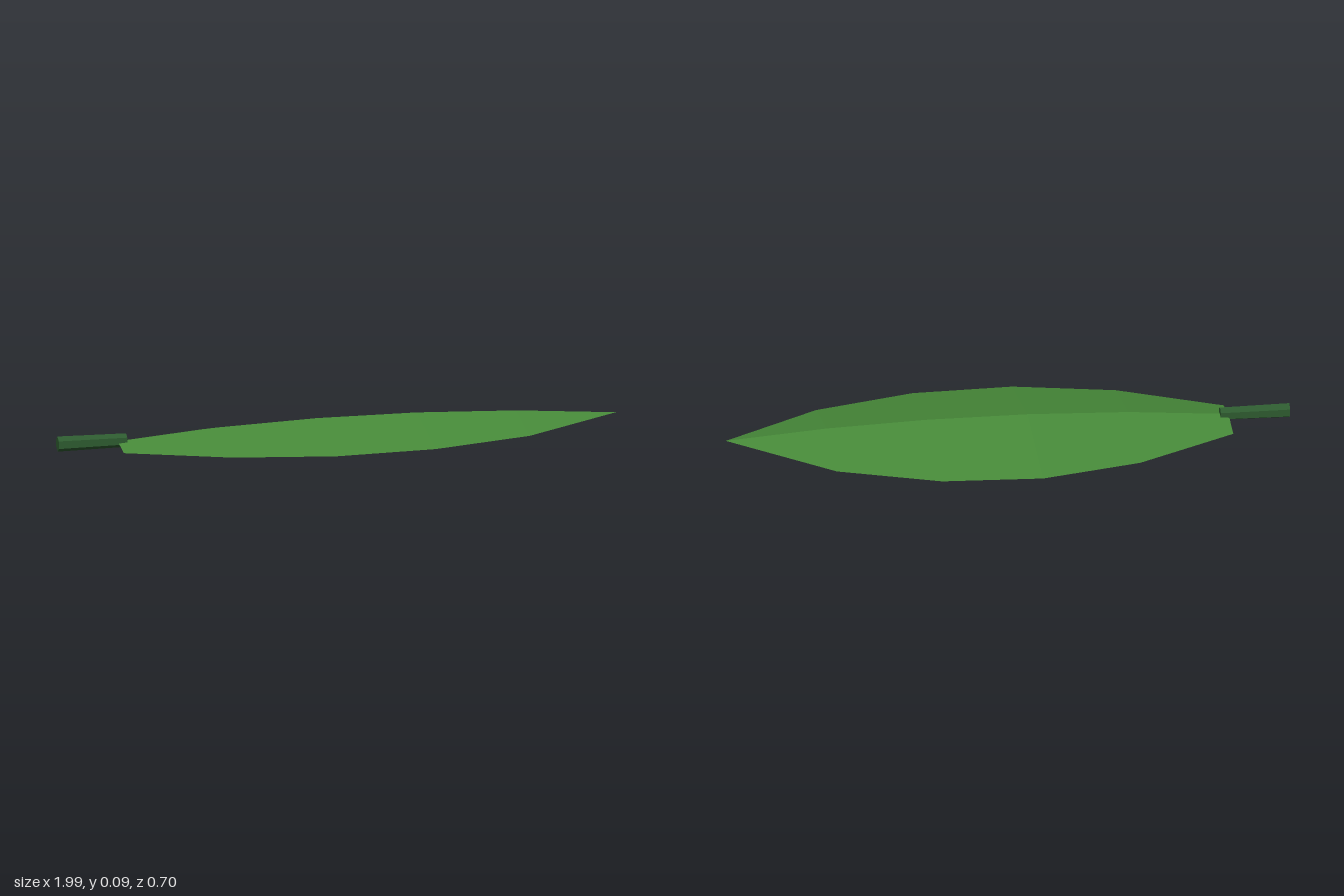
import * as THREE from 'three';

export function createModel() {
  const model = new THREE.Group();
  const leafGreen = new THREE.MeshStandardMaterial({ color: 0x478a39, flatShading: true, side: THREE.DoubleSide });
  leafGreen.name = 'leafGreen';
  const stemGreen = new THREE.MeshStandardMaterial({ color: 0x2d5a2f, flatShading: true });
  stemGreen.name = 'stemGreen';

  // Blade cross-sections from base to tip: x, ridge height, half width
  const sections = [
    [-0.785, 0.029, 0.109],
    [-0.43, 0.065, 0.278],
    [-0.075, 0.085, 0.352],
    [0.28, 0.092, 0.338],
    [0.637, 0.086, 0.235],
    [0.993, 0.066, 0],
  ];
  const droop = 0.205; // edge drop per unit of half width

  // Each half is a strip folded down from the central ridge
  for (const side of [1, -1]) {
    const positions = [];
    const index = [];
    sections.forEach(([x, y, w], i) => {
      positions.push(x, y, 0, x, y - w * droop, side * w);
      if (i === sections.length - 1) return;
      const a = i * 2; // ridge, edge, next ridge, next edge
      const faces = [[a, a + 1, a + 2]];
      if (sections[i + 1][2] > 0) faces.push([a + 1, a + 3, a + 2]);
      for (const [p, q, r] of faces) index.push(...(side > 0 ? [p, q, r] : [p, r, q]));
    });
    const geometry = new THREE.BufferGeometry();
    geometry.setAttribute('position', new THREE.Float32BufferAttribute(positions, 3));
    geometry.setIndex(index);
    geometry.computeVertexNormals();
    const half = new THREE.Mesh(geometry, leafGreen);
    half.name = side > 0 ? 'frontBlade' : 'backBlade';
    model.add(half);
  }

  // Six-sided stem lying along x, with an edge facing straight down
  const stemGeometry = new THREE.CylinderGeometry(0.024, 0.027, 0.245, 6);
  stemGeometry.rotateY(Math.PI / 2);
  stemGeometry.rotateZ(-Math.PI / 2 + 0.022);
  const stem = new THREE.Mesh(stemGeometry, stemGreen);
  stem.name = 'stem';
  stem.position.set(-0.877, 0.03, 0);
  model.add(stem);

  return model;
}
